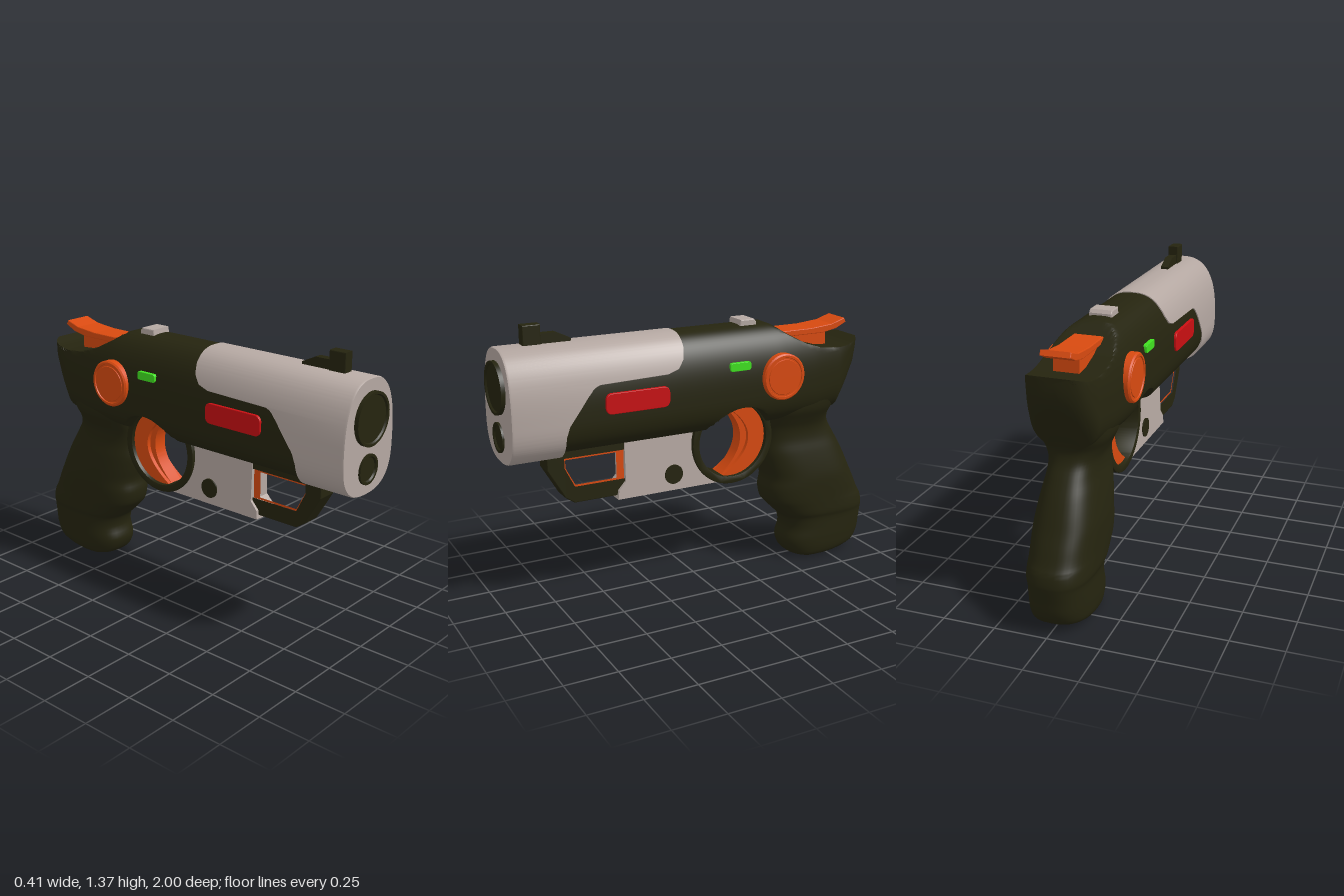
import * as THREE from 'three';
import { toCreasedNormals } from 'three/addons/utils/BufferGeometryUtils.js';

const material = (name, color) => Object.assign(new THREE.MeshStandardMaterial({ color }), { name });

// Piecewise-linear lookup; rows are [key, value, value, ...] with rising keys
function lookup(table, t, column = 1) {
  if (t <= table[0][0]) return table[0][column];
  for (let i = 1; i < table.length; i++) {
    const a = table[i - 1], b = table[i];
    if (t <= b[0]) return a[column] + (b[column] - a[column]) * (t - a[0]) / (b[0] - a[0]);
  }
  return table[table.length - 1][column];
}

// Skin over equal-length rings, closed with a fan at each end
function loft(rings, crease = 0.6) {
  const n = rings[0].length, pos = rings.flat(2), index = [];
  for (let r = 0; r < rings.length - 1; r++) {
    for (let j = 0; j < n; j++) {
      const k = (j + 1) % n, a = r * n + j, b = r * n + k;
      index.push(a, a + n, b, b, a + n, b + n);
    }
  }
  [rings[0], rings[rings.length - 1]].forEach((ring, end) => {
    const c = pos.length / 3, base = end ? (rings.length - 1) * n : 0;
    for (let i = 0; i < 3; i++) pos.push(ring.reduce((s, p) => s + p[i], 0) / n);
    for (let j = 0; j < n; j++) {
      const k = (j + 1) % n;
      if (end) index.push(c, base + k, base + j);
      else index.push(c, base + j, base + k);
    }
  });
  const g = new THREE.BufferGeometry();
  g.setAttribute('position', new THREE.Float32BufferAttribute(pos, 3));
  g.setIndex(index);
  return toCreasedNormals(g, crease);
}

const sup = (v, e) => Math.sign(v) * Math.abs(v) ** (2 / e);

// Egg-shaped section of the housing, as [x, y] points
function section(n, w, bottom, top, mid) {
  return Array.from({ length: n }, (_, j) => {
    const a = j / n * Math.PI * 2, s = sup(Math.sin(a), 2.6);
    return [w * sup(Math.cos(a), 2.6), mid + s * (s > 0 ? top - mid : mid - bottom)];
  });
}

// Side profile of [z, y] points, extruded across x with half width w
const toShape = (pts) => new THREE.Shape(pts.map(([z, y]) => new THREE.Vector2(z, y)));
function profile(shape, w, x = 0, bevel = 0) {
  const g = new THREE.ExtrudeGeometry(shape, {
    depth: 2 * (w - bevel), bevelEnabled: bevel > 0, bevelSize: bevel, bevelThickness: bevel,
    bevelOffset: -bevel, bevelSegments: 2, curveSegments: 40,
  });
  return g.translate(0, 0, bevel - w).rotateY(-Math.PI / 2).translate(x, 0, 0);
}

function pill(z0, z1, y0, y1, r) {
  const s = new THREE.Shape();
  s.absarc(z1 - r, y0 + r, r, -Math.PI / 2, 0);
  s.absarc(z1 - r, y1 - r, r, 0, Math.PI / 2);
  s.absarc(z0 + r, y1 - r, r, Math.PI / 2, Math.PI);
  s.absarc(z0 + r, y0 + r, r, Math.PI, Math.PI * 1.5);
  return s;
}

const RING = { z: -0.185, y: 0.705 };

// Crescent hugging the inside of the guard ring
function crescent(inset) {
  const s = new THREE.Shape();
  s.absarc(RING.z, RING.y, 0.192, 1.3, Math.PI * 2 - 1.3, false);
  s.quadraticCurveTo(-0.43 - inset, RING.y, RING.z + 0.192 * Math.cos(1.3), RING.y + 0.192 * Math.sin(1.3));
  return s;
}

export function createModel() {
  const model = new THREE.Group();
  model.name = 'toyPistol';
  const dark = material('dark olive', 0x25240f);
  const silver = material('warm silver', 0xb5a8a2);
  const orange = material('orange', 0xd84a10);
  const red = material('red', 0xc80f12);
  const green = material('green', 0x40e020);
  const add = (name, geometry, mat) => {
    const mesh = new THREE.Mesh(geometry, mat);
    mesh.name = name;
    model.add(mesh);
    return mesh;
  };

  // Housing: section swept along z, cut by the rear saddle and the finger hole
  const saddle = [[-0.89, 1.165], [-0.82, 1.14], [-0.75, 1.132], [-0.65, 1.14], [-0.55, 1.17], [-0.45, 1.225], [-0.38, 1.276]];
  const hull = [ // z, bottom, half width
    [-0.89, 1.06, 0.08], [-0.88, 1.04, 0.105], [-0.85, 0.97, 0.13], [-0.8, 0.88, 0.15], [-0.75, 0.8, 0.163],
    [-0.6, 0.78, 0.177], [-0.4, 0.775, 0.186], [1, 0.775, 0.186]];
  const rings = [];
  for (let i = 0; i <= 92; i++) {
    const z = 0.95 - i * 0.02, bottom = lookup(hull, z), top = lookup(saddle, z);
    const d = z - RING.z;
    const cut = Math.abs(d) < 0.195 ? RING.y + Math.sqrt(0.195 ** 2 - d * d) : 0;
    rings.push(section(96, lookup(hull, z, 2), bottom, 1.276, bottom + 0.17)
      .map(([x, y]) => [x, Math.max(Math.min(y, top), cut), z]));
  }
  add('housing', loft(rings), dark);

  // Front shell with a stepped rear edge
  const edge = [[0.75, 0.73], [0.88, 0.73], [0.93, 0.715], [1.05, 0.625], [1.09, 0.59], [1.108, 0.55],
    [1.112, 0.22], [1.13, 0.165], [1.17, 0.135], [1.22, 0.122], [1.28, 0.118]];
  const shell = section(200, 0.191, 0.75, 1.28, 0.95);
  const shellRing = (scale, zOf) => shell.map(([x, y]) => [x * scale, 1 + (y - 1) * scale, zOf(y)]);
  add('frontShell', loft([
    shellRing(0.985, () => 0.98), shellRing(1, () => 0.972),
    shellRing(1, (y) => lookup(edge, y)), shellRing(0.93, (y) => lookup(edge, y)),
  ]), silver);

  // Muzzle lenses
  [['muzzle', 1.1, 0.122, 1.0], ['lowerLens', 0.87, 0.07, 0.99]].forEach(([name, y, r, z]) => {
    const pts = [[r, -0.06], [r, 0], [r - 0.012, 0], [r - 0.017, -0.008], [0, -0.008]];
    const g = new THREE.LatheGeometry(pts.map((p) => new THREE.Vector2(...p)), 48);
    add(name, toCreasedNormals(g.rotateX(Math.PI / 2), 0.5), dark).position.set(0, y, z);
  });

  // Sights
  add('frontSight', profile(toShape([[0.86, 1.26], [0.86, 1.37], [0.775, 1.37], [0.775, 1.26]]), 0.026, 0, 0.004), dark);
  add('frontSightRamp', profile(toShape([[0.78, 1.26], [0.78, 1.325], [0.7, 1.325], [0.63, 1.292], [0.63, 1.26]]), 0.019), dark);
  add('rearSight', profile(toShape([[-0.225, 1.26], [-0.23, 1.3], [-0.305, 1.3], [-0.318, 1.285], [-0.318, 1.26]]), 0.055, 0, 0.005), silver);

  // Hammer
  add('hammer', profile(toShape([[-0.46, 1.195], [-0.46, 1.225], [-0.63, 1.225], [-0.75, 1.236], [-0.825, 1.26],
    [-0.838, 1.238], [-0.78, 1.21], [-0.7, 1.195]]), 0.07, 0, 0.004), orange);
  add('hammerStem', profile(toShape([[-0.46, 1.1], [-0.46, 1.215], [-0.72, 1.215], [-0.72, 1.1]]), 0.06), orange);

  // Grip: rounded sections stacked upward, rows of y, front z, back z, half width
  const gripRows = [[0.005, -0.6, -0.72, 0.1], [0.02, -0.555, -0.85, 0.125], [0.05, -0.53, -0.945, 0.137],
    [0.1, -0.515, -0.975, 0.141], [0.17, -0.533, -0.985, 0.141], [0.225, -0.52, -0.993, 0.142],
    [0.25, -0.495, -0.995, 0.149], [0.3, -0.445, -0.985, 0.15], [0.335, -0.415, -0.965, 0.15],
    [0.4, -0.402, -0.935, 0.15], [0.46, -0.412, -0.905, 0.148], [0.53, -0.395, -0.873, 0.14],
    [0.6, -0.382, -0.838, 0.129], [0.67, -0.386, -0.797, 0.116], [0.73, -0.382, -0.762, 0.117],
    [0.78, -0.38, -0.752, 0.137], [0.83, -0.38, -0.77, 0.16], [0.9, -0.4, -0.8, 0.165]];
  const curve = [1, 2, 3].map((c) => new THREE.CatmullRomCurve3(
    gripRows.map((row) => new THREE.Vector3(row[0], row[c], 0))));
  const gripRings = [];
  for (let i = 0; i <= 68; i++) {
    const [f, b, w] = curve.map((c) => c.getPoint(i / 68));
    gripRings.push(Array.from({ length: 48 }, (_, j) => {
      const a = j / 48 * Math.PI * 2;
      return [w.y * sup(Math.cos(a), 2.7), f.x, (f.y + b.y) / 2 + (f.y - b.y) / 2 * sup(Math.sin(a), 2.7)];
    }));
  }
  add('grip', loft(gripRings, 1), dark);

  // Guard ring and trigger
  const ring = new THREE.Shape().absarc(RING.z, RING.y, 0.225, 0, Math.PI * 2);
  ring.holes.push(new THREE.Path().absarc(RING.z, RING.y, 0.188, 0, Math.PI * 2, true));
  add('triggerGuard', toCreasedNormals(profile(ring, 0.075, 0, 0.005), 0.5), dark);
  add('trigger', toCreasedNormals(profile(crescent(-0.07), 0.035), 0.5), orange);
  add('triggerRim', toCreasedNormals(profile(crescent(0), 0.055), 0.5), orange);

  // Under-barrel block, wider towards the bottom
  const block = profile(toShape([[0.394, 0.79], [0.394, 0.58], [0.43, 0.54], [0.436, 0.497],
    [-0.1, 0.497], [-0.04, 0.56], [0.02, 0.64], [0.035, 0.79]]), 0.06);
  const p = block.attributes.position;
  for (let i = 0; i < p.count; i++) p.setX(i, p.getX(i) * (1.12 - (p.getY(i) - 0.497) * 0.8));
  block.computeVertexNormals();
  add('underBlock', block, silver);
  const button = new THREE.CylinderGeometry(0.048, 0.048, 0.138, 32).rotateZ(Math.PI / 2);
  add('blockButtons', button, dark).position.set(0, 0.577, 0.14);

  // Front loop with its inner liner
  const opening = [[0.38, 0.742], [0.7, 0.742], [0.7, 0.69], [0.65, 0.59], [0.38, 0.59]];
  const loop = toShape([[0.36, 0.79], [0.78, 0.79], [0.78, 0.69], [0.695, 0.545], [0.65, 0.514], [0.36, 0.514]]);
  loop.holes.push(toShape(opening));
  add('frontLoop', profile(loop, 0.05, 0, 0.004), dark);
  const liner = toShape(opening);
  liner.holes.push(toShape([[0.432, 0.727], [0.688, 0.727], [0.688, 0.688], [0.642, 0.6], [0.432, 0.6]]));
  add('loopLiner', profile(liner, 0.04), orange);

  // Side knobs and lights
  for (const side of [-1, 1]) {
    const pts = [[0.115, -0.06], [0.115, 0.032], [0.108, 0.039], [0.098, 0.039], [0.096, 0.034],
      [0.088, 0.034], [0.086, 0.037], [0, 0.037]];
    const knob = new THREE.LatheGeometry(pts.map((q) => new THREE.Vector2(...q)), 48).rotateZ(-side * Math.PI / 2);
    add('sideKnob', toCreasedNormals(knob, 0.4), orange).position.set(side * 0.167, 1.03, -0.395);
    add('redLight', profile(pill(0.22, 0.54, 0.962, 1.06, 0.03), 0.01, side * 0.185, 0.003), red);
    add('greenLight', profile(pill(-0.215, -0.103, 1.085, 1.126, 0.012), 0.01, side * 0.178, 0.002), green);
  }
  return model;
}
